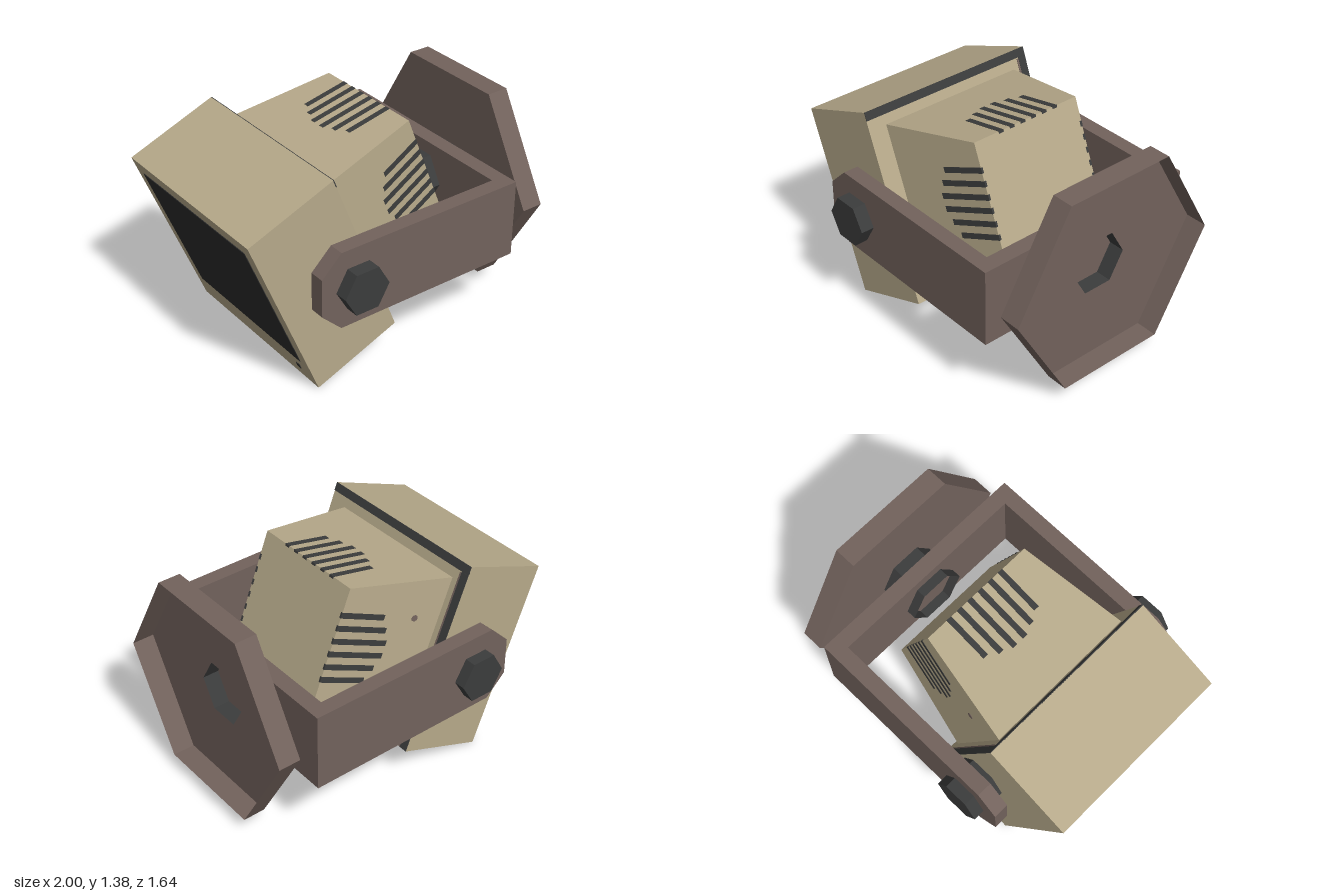
import * as THREE from 'three';

const mat = (name, color, side = THREE.FrontSide) => {
  const m = new THREE.MeshStandardMaterial({ color, side });
  m.name = name;
  return m;
};

export function createModel() {
  const beige = mat('beige casing', 0xb6a98a, THREE.DoubleSide);
  const brown = mat('brown bracket', 0x72625c, THREE.DoubleSide);
  const dark = mat('dark grey', 0x3b3c3c, THREE.DoubleSide);
  const black = mat('screen black', 0x2c2c2c);

  const root = new THREE.Group();
  root.name = 'wallMonitor';

  const add = (parent, name, geo, material, x = 0, y = 0, z = 0) => {
    const m = new THREE.Mesh(geo, material);
    m.name = name;
    m.position.set(x, y, z);
    parent.add(m);
    return m;
  };
  const box = (w, h, d) => new THREE.BoxGeometry(w, h, d);
  // faceted hexagonal prism, axis along y
  const hexPrism = (r, h, open = false) => {
    const g = new THREE.CylinderGeometry(r, r, h, 6, 1, open).toNonIndexed();
    g.computeVertexNormals();
    return g;
  };
  const hexPoints = r => Array.from({ length: 6 }, (_, i) =>
    new THREE.Vector2(r * Math.cos(i * Math.PI / 3), r * Math.sin(i * Math.PI / 3)));

  const midY = 0.72, midZ = -0.007;

  // hexagonal wall dish: floor with a hexagonal hole, open towards the wall
  const floorShape = new THREE.Shape(hexPoints(0.72));
  floorShape.holes.push(new THREE.Path(hexPoints(0.19).reverse()));
  add(root, 'wallPlateFloor', new THREE.ShapeGeometry(floorShape).rotateY(Math.PI / 2), brown, 0.862, midY, midZ);
  add(root, 'wallPlateRim', hexPrism(0.72, 0.138, true).rotateZ(Math.PI / 2), brown, 0.931, midY, midZ);

  // open tube joining the plate and the bracket
  add(root, 'connectorTube', hexPrism(0.19, 0.262, true).rotateZ(Math.PI / 2), dark, 0.731, midY, midZ);

  // U-shaped bracket: back panel and two arms with clipped ends
  add(root, 'bracketBack', box(0.1, 0.492, 1.3), brown, 0.711, midY, midZ);
  const armShape = new THREE.Shape([
    [0.761, -0.246], [0.761, 0.246], [-0.495, 0.246], [-0.625, 0.12], [-0.625, -0.12], [-0.495, -0.246],
  ].map(p => new THREE.Vector2(...p)));
  for (const s of [1, -1]) {
    const side = s > 0 ? 'front' : 'back';
    const armGeo = new THREE.ExtrudeGeometry(armShape, { depth: 0.096, bevelEnabled: false });
    armGeo.translate(0, 0, -0.048);
    add(root, side + 'Arm', armGeo, brown, 0, midY, s * 0.693 + midZ);
    const bolt = hexPrism(0.15, 0.23).rotateY(Math.PI / 6).rotateX(Math.PI / 2);
    add(root, side + 'Bolt', bolt, dark, -0.38, midY - 0.002, s * 0.703);
  }

  // tilted monitor: local +x is its rear, local -x the screen
  const monitor = new THREE.Group();
  monitor.name = 'monitor';
  monitor.position.set(-0.503, 0.668, 0);
  monitor.rotation.z = 0.38;
  root.add(monitor);
  add(monitor, 'screenCasing', box(0.592, 1.2, 1.2), beige);
  add(monitor, 'screen', box(0.006, 0.93, 1.04), black, -0.297, 0.05, 0);
  add(monitor, 'powerButton', box(0.006, 0.035, 0.035), black, -0.297, -0.5, 0.46);

  // seam trim on the rear of the casing
  add(monitor, 'topTrim', box(0.006, 0.052, 1.2), dark, 0.297, 0.574, 0);
  add(monitor, 'sideTrim', box(0.006, 1.146, 0.053), dark, 0.297, -0.026, -0.573);
  add(monitor, 'sideSeam', box(0.004, 1.14, 0.012), brown, 0.297, -0.03, -0.54);

  // rear housing tapering away from the screen, open underneath
  const taper = 0.165, len = 0.662, baseX = 0.295;
  const housing = box(len, 0.974, 0.974);
  const p = housing.attributes.position;
  for (let i = 0; i < p.count; i++) {
    if (p.getX(i) > 0) p.setXYZ(i, p.getX(i), p.getY(i) * 0.776, p.getZ(i) * 0.776);
  }
  housing.computeVertexNormals();
  // drop the casing side (face 1) and the underside (face 3)
  housing.setIndex(Array.from(housing.index.array).filter((_, i) => ![1, 3].includes(Math.floor(i / 6))));
  housing.clearGroups();
  add(monitor, 'rearHousing', housing, beige, baseX + len / 2, 0, midZ);

  // dark block inside the housing, seen through its open underside
  add(monitor, 'innerBlock', box(0.12, 0.17, 0.92), dark, 0.356, -0.385, midZ);

  // frame lying on one sloped housing wall: x towards the rear, y outwards
  const wall = (name, turn) => {
    const spin = new THREE.Group();
    spin.name = name;
    spin.position.z = midZ;
    spin.rotation.x = turn;
    monitor.add(spin);
    const slope = new THREE.Group();
    slope.position.set(baseX, 0.487, 0);
    slope.rotation.z = -Math.atan(taper);
    spin.add(slope);
    return slope;
  };

  // vent bars sunk into the top and both sides, longest in the middle
  const starts = [0.38, 0.34, 0.31, 0.31, 0.34, 0.38];
  const end = 0.673;
  const walls = [['topVents', 0, 1], ['frontVents', Math.PI / 2, 1], ['backVents', -Math.PI / 2, -1]];
  for (const [name, turn, flip] of walls) {
    const w = wall(name, turn);
    starts.forEach((s, i) => add(w, 'ventBar', box(end - s, 0.028, 0.035), dark,
      (s + end) / 2, -0.012, flip * (-0.215 + i * 0.08)));
    if (name === 'backVents') {
      add(w, 'socket', new THREE.CylinderGeometry(0.02, 0.02, 0.006, 10), brown, 0.17, 0, 0.22);
    }
  }

  return root;
}
